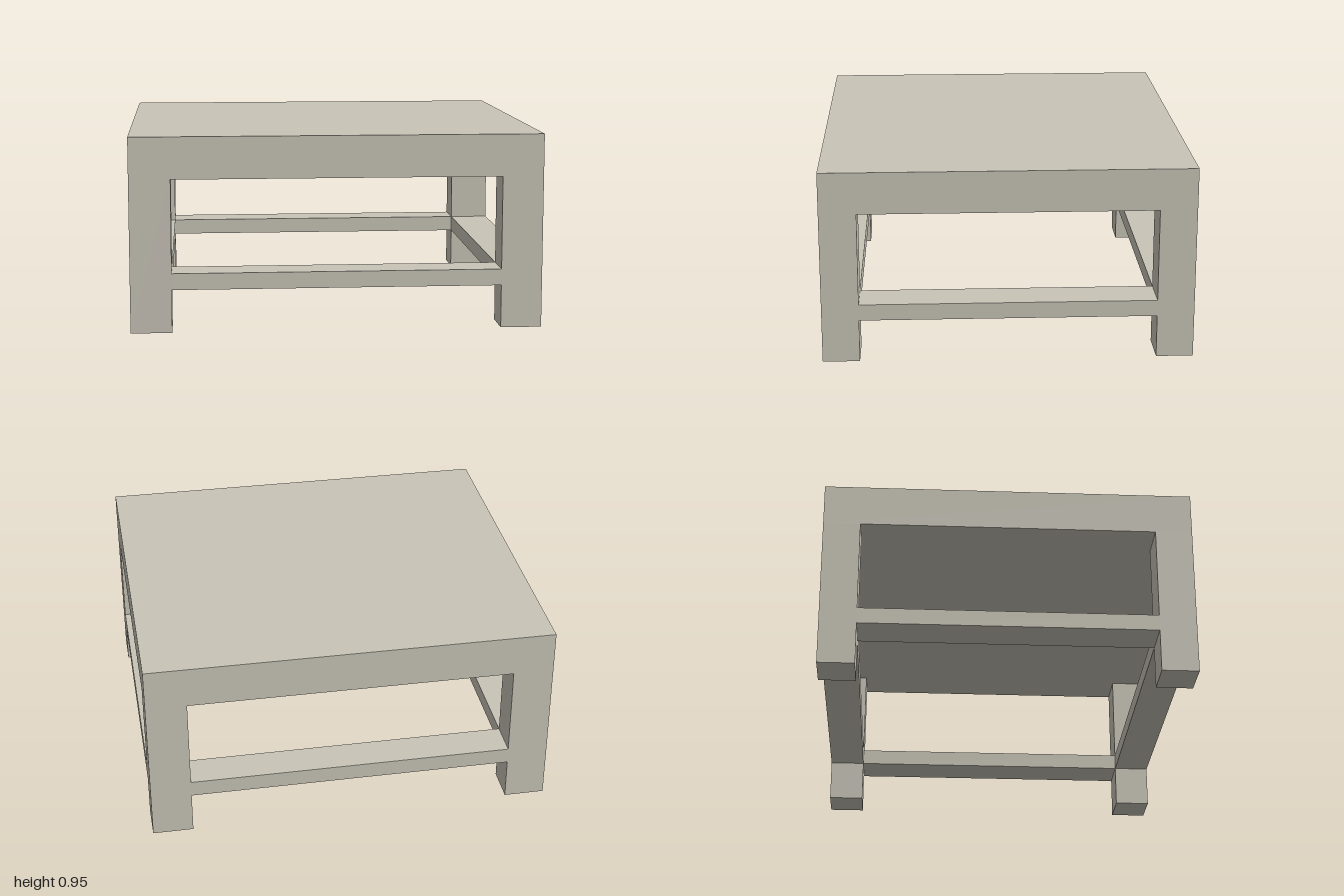
import * as THREE from 'three';

// Overall half sizes, leg section and heights
const HX = 1, HZ = 0.9, LEG_X = 0.2, LEG_Z = 0.18;
const TOP_Y = 0.95, UNDER_Y = 0.745, RAIL_LOW = 0.21, RAIL_HIGH = 0.29;

export function createModel() {
  const table = new THREE.Group();
  table.name = 'lowTable';
  const stone = new THREE.MeshStandardMaterial({ color: 0xc8c4b7 });
  stone.name = 'warm grey';

  // Box standing between two heights, centred on x, z
  const addBox = (name, width, depth, y0, y1, x = 0, z = 0) => {
    const mesh = new THREE.Mesh(new THREE.BoxGeometry(width, y1 - y0, depth), stone);
    mesh.name = name;
    mesh.position.set(x, (y0 + y1) / 2, z);
    table.add(mesh);
  };

  // Thick solid top
  addBox('tableTop', 2 * HX, 2 * HZ, UNDER_Y, TOP_Y);

  const legX = HX - LEG_X / 2, legZ = HZ - LEG_Z / 2;
  for (const s of [-1, 1]) {
    const side = s > 0 ? 'left' : 'right';
    const end = s > 0 ? 'front' : 'back';

    // Corner legs, flush with the top
    addBox(side + 'FrontLeg', LEG_X, LEG_Z, 0, UNDER_Y, s * legX, legZ);
    addBox(side + 'BackLeg', LEG_X, LEG_Z, 0, UNDER_Y, s * legX, -legZ);

    // Stretcher rails as wide as the legs
    addBox(end + 'Rail', 2 * (HX - LEG_X), LEG_Z, RAIL_LOW, RAIL_HIGH, 0, s * legZ);
    addBox(side + 'Rail', LEG_X, 2 * (HZ - LEG_Z), RAIL_LOW, RAIL_HIGH, s * legX, 0);
  }
  return table;
}
